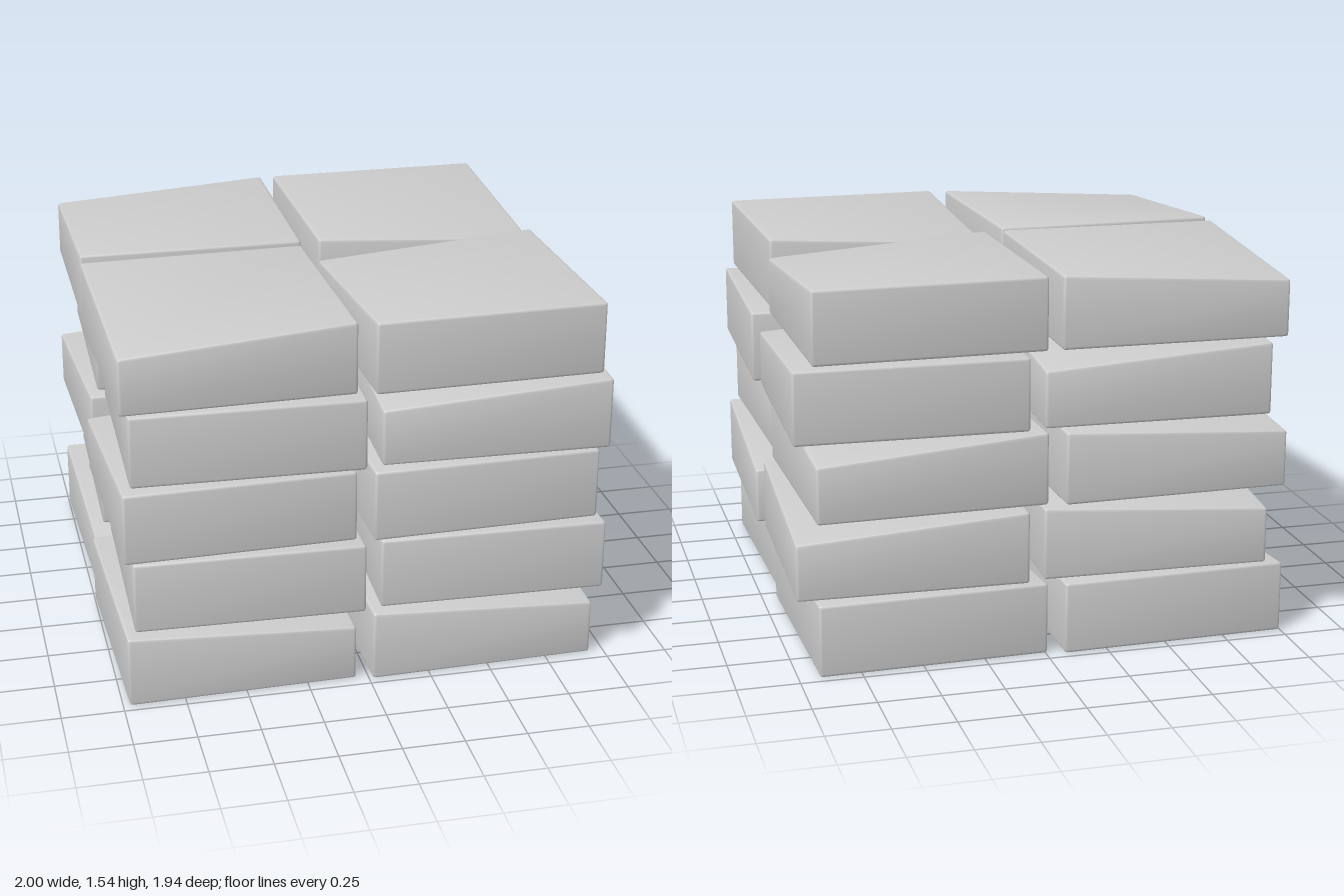
import * as THREE from 'three';
import { RoundedBoxGeometry } from 'three/addons/geometries/RoundedBoxGeometry.js';
import { toCreasedNormals } from 'three/addons/utils/BufferGeometryUtils.js';

const SIZE = 0.925, HEIGHT = 0.295, PITCH = 0.311, DROP = 0.065;

// Square slab with soft edges; the top corner at the signs (sx, sz) is sunk
function slabGeometry(sx, sz) {
  const geo = new RoundedBoxGeometry(SIZE, HEIGHT, SIZE, 2, 0.013);
  const p = geo.attributes.position;
  for (let i = 0; i < p.count; i++) {
    const u = 0.5 + (sx * p.getX(i)) / SIZE;
    const v = 0.5 + (sz * p.getZ(i)) / SIZE;
    const t = 0.5 + p.getY(i) / HEIGHT;
    p.setY(i, p.getY(i) - DROP * u * v * t);
  }
  return toCreasedNormals(geo, 0.6);
}

// Sunk corner [x, z] of each slab, per layer from the bottom:
// front right side (-x), front left side (+x), back +x, back -x
const SUNK = [
  [[1, 1], [1, 1], [-1, 1], [-1, 1]],
  [[1, -1], [1, -1], [1, -1], [-1, -1]],
  [[-1, -1], [1, -1], [1, -1], [-1, -1]],
  [[-1, -1], [-1, 1], [1, 1], [1, -1]],
  [[-1, 1], [-1, -1], [1, 1], [-1, -1]],
];
const CELLS = [[-1, 1], [1, 1], [1, -1], [-1, -1]];

export function createModel() {
  const model = new THREE.Group();
  model.name = 'slabStack';
  const material = new THREE.MeshStandardMaterial({ color: 0xcccccc });

  // Layers shift sideways and twist in alternate directions
  SUNK.forEach((corners, level) => {
    const layer = new THREE.Group();
    layer.name = `layer${level + 1}`;
    const swing = level % 2 ? -1 : 1;
    CELLS.forEach(([cx, cz], i) => {
      const slab = new THREE.Mesh(slabGeometry(...corners[i]), material);
      slab.name = `slab${i + 1}`;
      slab.position.set(cx * 0.495 - swing * 0.029, HEIGHT / 2, cz * 0.495);
      const topBack = level === 4 && cz < 0;
      slab.rotation.y = topBack ? (cx > 0 ? 0.012 : -0.008) : swing * 0.026;
      layer.add(slab);
    });
    layer.position.y = level * PITCH;
    model.add(layer);
  });
  return model;
}
